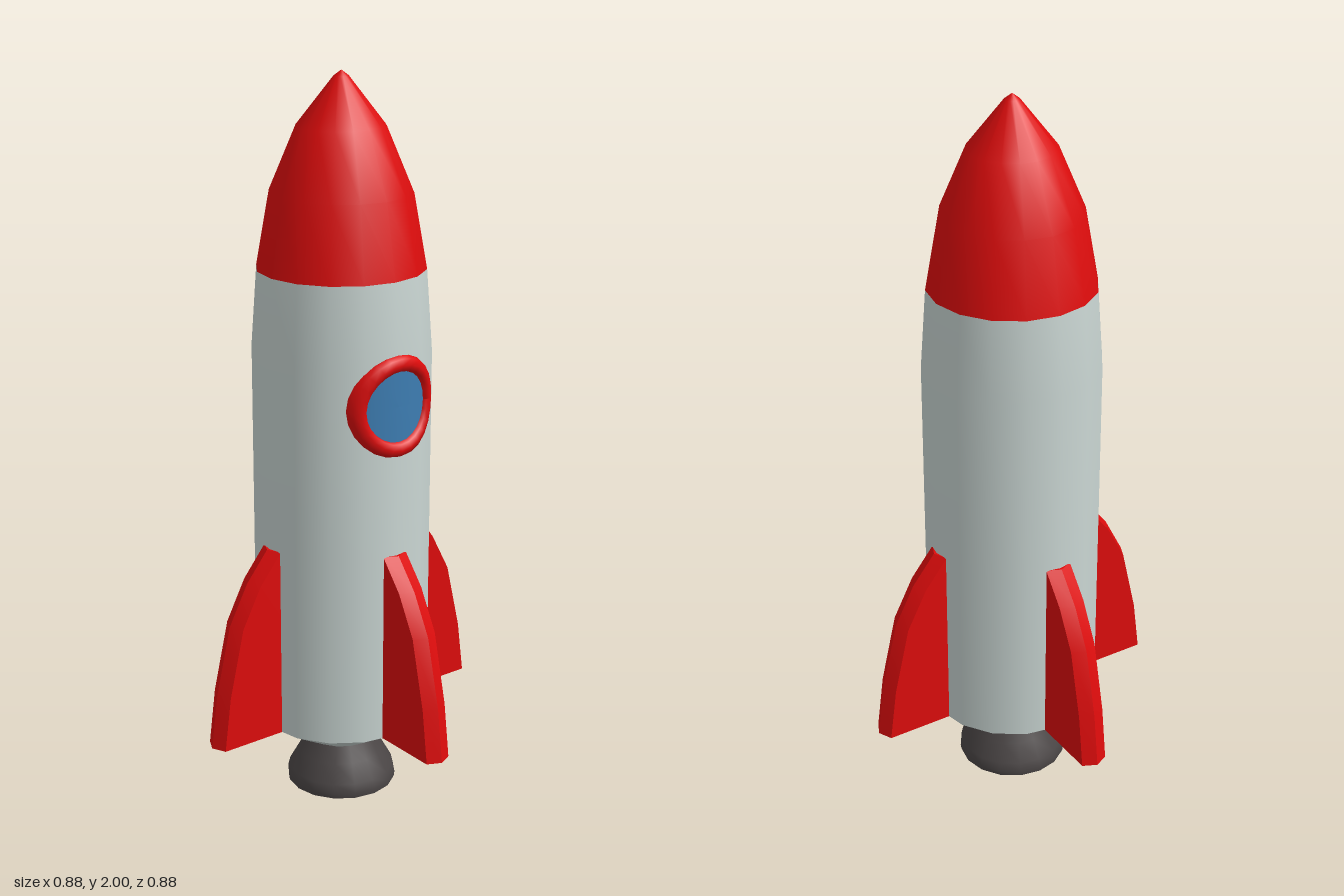
import * as THREE from 'three';
import { toCreasedNormals } from 'three/addons/utils/BufferGeometryUtils.js';

const material = (name, color) => {
  const m = new THREE.MeshStandardMaterial({ color });
  m.name = name;
  return m;
};

// Revolve a [radius, height] profile, listed from bottom to top
const lathe = (profile, sides = 16) =>
  new THREE.LatheGeometry(profile.map(([r, y]) => new THREE.Vector2(r, y)), sides);

// Fin along +x: pentagonal cross-sections with a ridged outer edge
function finGeometry() {
  const outline = [[0.44, 0.22], [0.42, 0.37], [0.375, 0.56], [0.317, 0.67], [0.25, 0.752]];
  const inner = 0.23, half = 0.038, bevel = 0.018;
  const positions = [], index = [];
  for (const [r, y] of outline) {
    positions.push(inner, y, -half, r - bevel, y, -half, r, y, 0, r - bevel, y, half, inner, y, half);
  }
  const last = (outline.length - 1) * 5;
  for (let s = 0; s < last; s += 5) {
    for (let i = 0; i < 5; i++) {
      const j = (i + 1) % 5;
      const a = s + i, b = s + j, c = s + 5 + j, d = s + 5 + i;
      index.push(a, d, c, a, c, b);
    }
  }
  for (let i = 1; i < 4; i++) {
    index.push(0, i, i + 1, last, last + i + 1, last + i);
  }
  const g = new THREE.BufferGeometry();
  g.setAttribute('position', new THREE.Float32BufferAttribute(positions, 3));
  g.setIndex(index);
  return toCreasedNormals(g, 0.5);
}

// Wrap a flat geometry facing +z around the hull
function wrap(geometry, radius, centreY) {
  const p = geometry.attributes.position;
  for (let i = 0; i < p.count; i++) {
    const x = p.getX(i);
    p.setY(i, p.getY(i) + centreY);
    p.setZ(i, p.getZ(i) + Math.sqrt(radius * radius - x * x));
  }
  geometry.computeVertexNormals();
  return geometry;
}

export function createModel() {
  const red = material('red paint', 0xdd0c0c);
  const grey = material('pale grey hull', 0xcad6d3);
  const dark = material('dark nozzle metal', 0x4b4646);
  const blue = material('blue glass', 0x3d7db2);

  const rocket = new THREE.Group();
  rocket.name = 'rocket';
  const add = (name, geometry, mat) => {
    const mesh = new THREE.Mesh(geometry, mat);
    mesh.name = name;
    rocket.add(mesh);
    return mesh;
  };

  // Hull and nose
  add('hull', lathe([[0.242, 0.22], [0.242, 0.75], [0.242, 1.27], [0.226, 1.49]]), grey);
  add('noseCone', lathe([[0.226, 1.49], [0.19, 1.69], [0.118, 1.86], [0.02, 1.985], [0, 2]]), red);

  // Tail and hollow engine bell
  add('tailCone', lathe([[0, 0.133], [0.095, 0.133], [0.242, 0.22]]), grey);
  const bell = [[0, 0.09], [0.08, 0.09], [0.13, 0.005], [0.138, 0], [0.152, 0],
    [0.154, 0.015], [0.148, 0.04], [0.12, 0.09], [0.097, 0.137]];
  add('engineBell', toCreasedNormals(lathe(bell), 0.7), dark);

  // Four fins
  const fin = finGeometry();
  ['leftFin', 'backFin', 'rightFin', 'frontFin'].forEach((name, i) => {
    add(name, fin, red).rotation.y = i * Math.PI / 2;
  });

  // Porthole curved to the hull
  add('windowFrame', wrap(new THREE.TorusGeometry(0.115, 0.022, 8, 24), 0.241, 1.165), red);
  add('windowGlass', wrap(new THREE.RingGeometry(0, 0.112, 24, 5), 0.246, 1.165), blue);

  return rocket;
}
